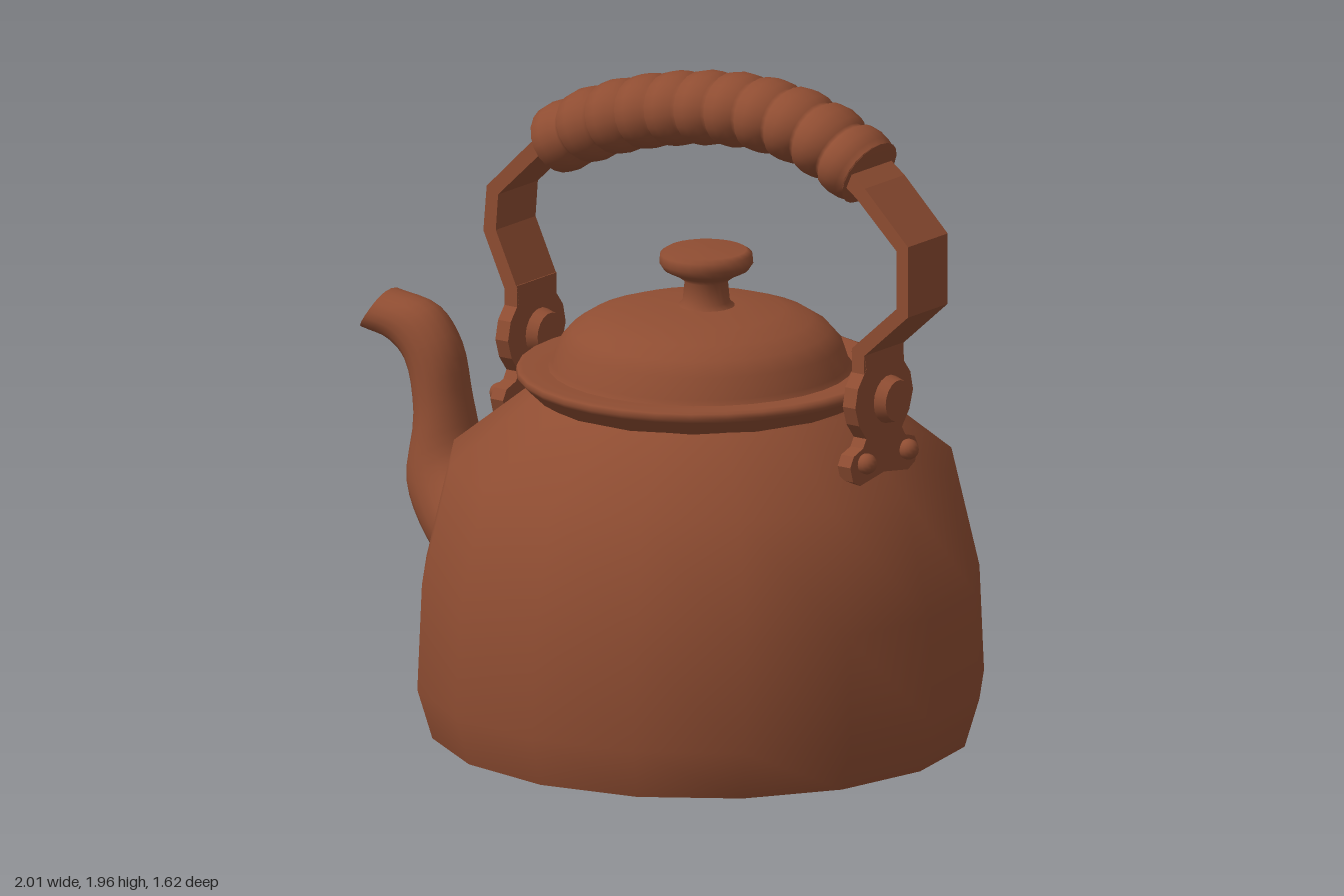
import * as THREE from 'three';

const CX = 0.19; // axis of the pot
const V = (x, y) => new THREE.Vector2(x, y);

// Skin over oval rings. Each ring: [ax, ay, bx, by, halfWidthZ], a and b being opposite edge points.
function loft(rings, sides) {
  const pos = [], idx = [];
  rings.forEach(([ax, ay, bx, by, w, push = 0]) => {
    for (let j = 0; j < sides; j++) {
      const t = (j / sides) * Math.PI * 2, c = Math.cos(t), s = Math.sin(t);
      pos.push((ax + bx) / 2 + ((ax - bx) / 2) * c + push * s * s, (ay + by) / 2 + ((ay - by) / 2) * c, w * s);
    }
  });
  for (let i = 0; i < rings.length - 1; i++) {
    for (let j = 0; j < sides; j++) {
      const a = i * sides + j, b = i * sides + ((j + 1) % sides);
      idx.push(a, b, a + sides, b, b + sides, a + sides);
    }
  }
  const g = new THREE.BufferGeometry();
  g.setAttribute('position', new THREE.Float32BufferAttribute(pos, 3));
  g.setIndex(idx);
  g.computeVertexNormals();
  return g;
}

// Flat band of even thickness following a path in the xy plane
function strapGeometry(path, thick, width) {
  const pts = path.map(([x, y]) => V(x, y));
  const offset = (side) => pts.map((p, i) => {
    const d1 = (pts[i + 1] || p).clone().sub(i < pts.length - 1 ? p : pts[i - 1]).normalize();
    const d0 = i > 0 ? p.clone().sub(pts[i - 1]).normalize() : d1;
    const d = d0.add(d1).normalize();
    return V(p.x - d.y * side * thick / 2, p.y + d.x * side * thick / 2);
  });
  const shape = new THREE.Shape([...offset(1), ...offset(-1).reverse()]);
  return new THREE.ExtrudeGeometry(shape, { depth: width, bevelEnabled: false }).translate(0, 0, -width / 2);
}

export function createModel() {
  const kettle = new THREE.Group();
  kettle.name = 'kettle';
  const copper = new THREE.MeshStandardMaterial({ color: 0x8f4d32, side: THREE.DoubleSide });
  copper.name = 'copper brown';
  const add = (name, geo, parent = kettle) => {
    const m = new THREE.Mesh(geo, copper);
    m.name = name;
    parent.add(m);
    return m;
  };
  const turned = (name, pts, sides) => {
    const m = add(name, new THREE.LatheGeometry(pts.map(([r, y]) => V(r, y)), sides));
    m.position.x = CX;
    return m;
  };

  // Pot: faceted outline with soft shading
  turned('potBase', [[0, 0.005], [0.765, 0.005]], 16).scale.x = 1.02;
  turned('potBody', [[0.765, 0.005], [0.808, 0.15], [0.795, 0.46], [0.715, 0.81], [0.48, 1.0], [0.46, 1.02]], 16).scale.x = 1.02;

  // Flared rim and domed lid
  turned('rim', [[0.46, 0.99], [0.475, 1.005], [0.52, 1.048], [0.528, 1.06], [0.525, 1.075], [0.51, 1.08], [0.42, 1.075]], 32);
  turned('lid', [[0.44, 1.07], [0.425, 1.09], [0.405, 1.15], [0.37, 1.19], [0.32, 1.222], [0.24, 1.248], [0.12, 1.262], [0, 1.265]], 32);
  turned('lidKnob', [[0.09, 1.255], [0.068, 1.275], [0.062, 1.335], [0.085, 1.352], [0.122, 1.37], [0.135, 1.39],
    [0.132, 1.415], [0.115, 1.426], [0, 1.428]], 24).position.x = 0.21;

  // Curved spout, open at the tip
  const spout = [
    [-0.48, 0.30, -0.44, 0.67, 0.23], [-0.60, 0.33, -0.53, 0.665, 0.21], [-0.73, 0.43, -0.58, 0.68, 0.165],
    [-0.82, 0.58, -0.615, 0.725, 0.125], [-0.805, 0.79, -0.645, 0.84, 0.095], [-0.84, 0.94, -0.68, 1.0, 0.088],
    [-0.90, 0.985, -0.76, 1.10, 0.085], [-1.0, 1.005, -0.91, 1.13, 0.08]];
  const curve = (i, k) => new THREE.CatmullRomCurve3(spout.map((s) => new THREE.Vector3(s[i], s[i + 1], s[k])));
  const outer = curve(0, 4), inner = curve(2, 4), rings = [];
  for (let i = 0; i <= 28; i++) {
    const o = outer.getPoint(i / 28), n = inner.getPoint(i / 28);
    rings.push([o.x, o.y, n.x, n.y, o.z, i === 28 ? 0.015 : 0]);
  }
  add('spout', loft(rings, 18));

  // Handle straps
  add('rightStrap', strapGeometry([[-0.415, 1.16], [-0.415, 1.23], [-0.49, 1.39], [-0.48, 1.51], [-0.33, 1.655], [-0.2, 1.72]], 0.045, 0.19));
  add('leftStrap', strapGeometry([[0.82, 1.16], [0.82, 1.24], [0.977, 1.38], [0.977, 1.57], [0.83, 1.71], [0.72, 1.79]], 0.045, 0.19));

  // Wrapped grip: a row of bands along the handle arch
  const arch = new THREE.CatmullRomCurve3([[-0.33, 1.66], [-0.15, 1.75], [0.05, 1.813], [0.25, 1.85], [0.42, 1.858],
    [0.6, 1.83], [0.79, 1.745]].map(([x, y]) => new THREE.Vector3(x, y, 0)));
  const bands = 11, grip = [];
  const gripRing = (u, r) => {
    const p = arch.getPointAt(u), t = arch.getTangentAt(u);
    grip.push([p.x - t.y * r, p.y + t.x * r, p.x + t.y * r, p.y - t.x * r, r * 1.18]);
  };
  gripRing(0, 0.001);
  gripRing(0, 0.08);
  for (let i = 0; i < bands; i++) {
    const swell = i === 0 ? 0.96 : 1;
    [[0.02, 0.09], [0.14, 0.104], [0.45, 0.108], [0.78, 0.104], [0.9, 0.09]].forEach(([f, r]) => gripRing((i + f) / bands, r * swell));
  }
  gripRing(1, 0.1);
  gripRing(1, 0.001);
  add('grip', loft(grip, 20));

  // Bracket outline, one half (z, y), mirrored
  const half = [[0.095, 1.24], [0.085, 1.19], [0.125, 1.14], [0.138, 1.085], [0.12, 1.03], [0.085, 0.985],
    [0.1, 0.96], [0.145, 0.945], [0.162, 0.915], [0.148, 0.87], [0.11, 0.85]];
  const plate = new THREE.Shape([...half.map(([z, y]) => V(z, y)), ...half.slice().reverse().map(([z, y]) => V(-z, y))]);
  const disc = (r0, r1, len) => new THREE.CylinderGeometry(r1, r0, len, 18).rotateZ(-Math.PI / 2);

  // Brackets with bolts and rivets; local +x points away from the pot
  [[0.82, 1, 'left'], [-0.415, -1, 'right']].forEach(([x, dir, side]) => {
    const g = new THREE.Group();
    g.name = side + 'Bracket';
    g.position.x = x;
    g.rotation.y = dir > 0 ? 0 : Math.PI;
    kettle.add(g);
    add('plate', new THREE.ExtrudeGeometry(plate, { depth: 0.045, bevelEnabled: false })
      .rotateY(Math.PI / 2).translate(-0.0225, 0, 0), g);
    add('boltHead', disc(0.07, 0.06, 0.035), g).position.set(0.055, 1.088, 0);
    add('boltBack', disc(0.06, 0.07, 0.035), g).position.set(-0.052, 1.088, 0);
    add('boltShank', disc(0.045, 0.045, 0.13), g).position.set(0, 1.088, 0);
    for (const z of [-0.1, 0.1]) {
      const rivet = add('rivet', new THREE.SphereGeometry(0.03, 14, 10), g);
      rivet.position.set(0.035, 0.917, z);
    }
  });
  return kettle;
}
